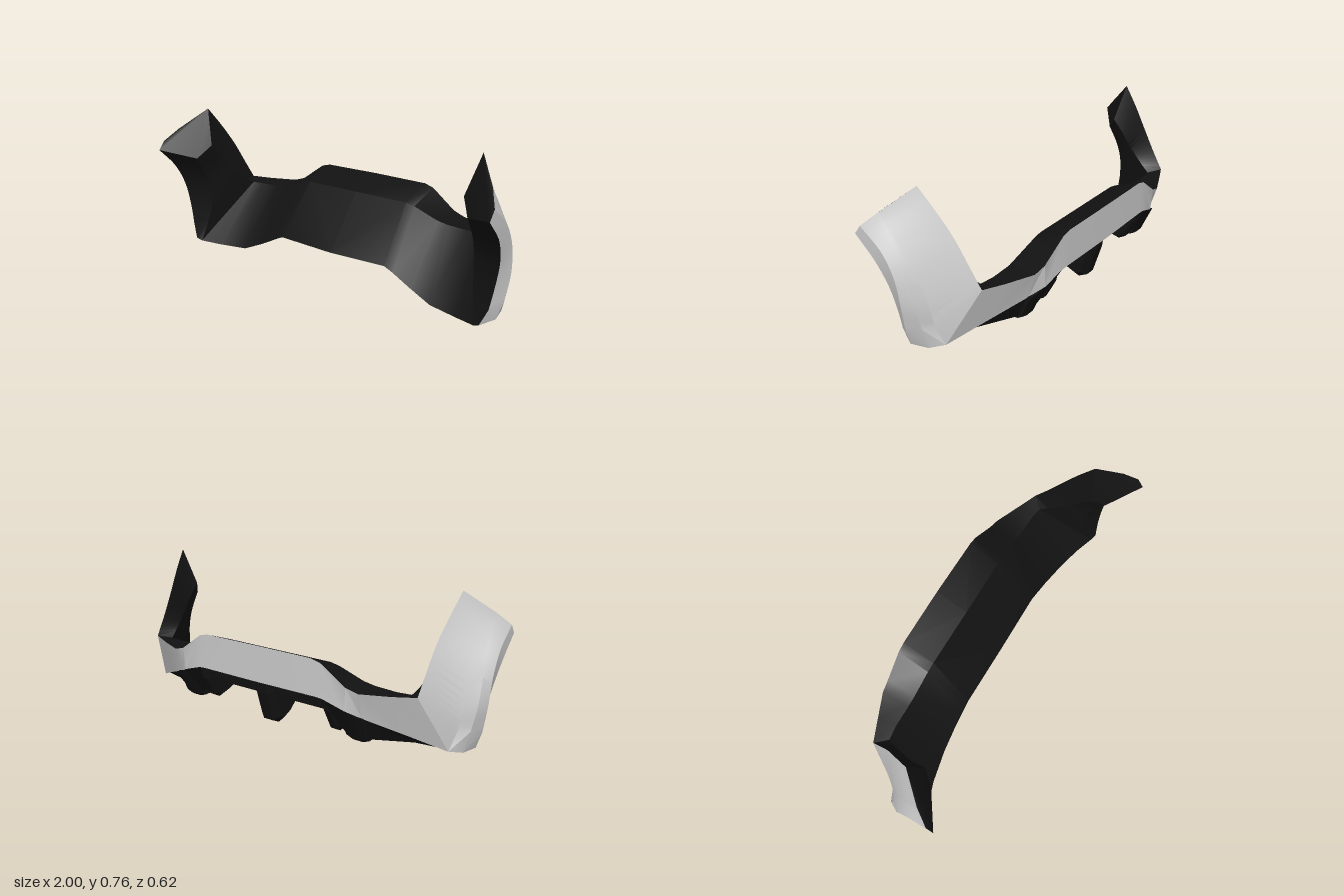
import * as THREE from 'three';
import { toCreasedNormals } from 'three/addons/utils/BufferGeometryUtils.js';

const grey = new THREE.MeshStandardMaterial({ color: 0xcccccc, side: THREE.DoubleSide });
const black = new THREE.MeshStandardMaterial({ color: 0x121212, side: THREE.DoubleSide });

// Body sections from the middle outwards:
// top edge, inner ridge, front foot, recess front, recess roof, lower lip
const body = [
  [[0, .455, -.308], [0, .39, -.14], [0, .115, .065], [0, .20, -.06], [0, .29, -.20], [0, .275, -.308]],
  [[.31, .453, -.305], [.31, .39, -.14], [.33, .125, .065], [.33, .20, -.06], [.33, .28, -.20], [.33, .275, -.304]],
  [[.36, .44, -.303], [.36, .38, -.14], [.38, .105, .067], [.39, .15, -.05], [.39, .24, -.20], [.37, .272, -.302]],
  [[.49, .348, -.294], [.49, .335, -.14], [.48, .055, .07], [.45, .066, -.08], [.45, .085, -.205], [.48, .235, -.289]],
  [[.55, .33, -.286], [.55, .325, -.14], [.6, .005, .08], [.58, .062, -.05], [.56, .085, -.19], [.55, .20, -.245]],
  [[.68, .33, -.231], [.66, .32, -.14], [.76, .002, .115], [.74, .04, .02], [.73, .075, -.08], [.72, .13, -.146]],
];
// Horn rails from bottom to tip: rear edge, inner ridge, inner front,
// arch edge, flange crease, flange shoulder, body crease
const horn = [
  [[.785, .335, -.185], [.785, .335, -.185], [.79, .43, -.127], [.80, .55, -.057], [.82, .66, .015], [.84, .76, .09]],
  [[.73, .32, -.13], [.745, .345, -.09], [.76, .395, -.03], [.775, .45, .03], [.78, .50, .07], [.78, .57, .13]],
  [[.87, .012, .155], [.845, .12, .125], [.83, .22, .105], [.83, .33, .11], [.835, .41, .14], [.835, .50, .19]],
  [[.90, .025, .165], [.935, .10, .15], [.955, .20, .147], [.98, .33, .16], [.995, .44, .21], [1, .545, .31]],
  [[.945, .042, .10], [.975, .13, .09], [.995, .26, .083], [1, .39, .10], [1, .50, .16], [1, .59, .275]],
  [[.925, .045, .01], [.95, .15, .015], [.97, .27, .03], [.968, .43, .075], [.958, .55, .135], [.952, .653, .207]],
  [[.88, .06, -.05], [.90, .15, -.01], [.915, .27, .004], [.935, .43, .057], [.945, .55, .125], [.95, .655, .204]],
];

const toVectors = points => points.map(p => new THREE.Vector3(...p));

// Full row of sections from the right tip, through the middle, to the left tip
function makeSections() {
  const steps = 18;
  // The recess roof point serves both flange points
  const half = body.map(s => toVectors([...s.slice(0, 5), s[4], s[5]]));
  half.push(toVectors(horn.map(r => r[0])));
  const rails = horn.map(r => new THREE.CatmullRomCurve3(toVectors(r.slice(1))).getPoints(steps));
  for (let i = 0; i <= steps; i++) half.push(rails.map(r => r[i]));
  const flip = s => s.map(p => new THREE.Vector3(-p.x, p.y, p.z));
  return [...half.slice(1).reverse().map(flip), ...half];
}

function meshFrom(tris, material, crease, name) {
  const g = new THREE.BufferGeometry().setFromPoints(tris);
  const mesh = new THREE.Mesh(toCreasedNormals(g, crease), material);
  mesh.name = name;
  return mesh;
}

// Chamfered plate with a side profile of [z, y] points, set across x
function plate(profile, x, width, chamfer, name) {
  const shape = new THREE.Shape(profile.map(([z, y]) => new THREE.Vector2(-z, y)));
  const bevel = width * 0.28;
  const depth = width - 2 * bevel;
  const g = new THREE.ExtrudeGeometry(shape, {
    depth, bevelThickness: bevel, bevelSize: chamfer, bevelOffset: -chamfer, bevelSegments: 1,
  });
  g.translate(0, 0, -depth / 2);
  g.rotateY(Math.PI / 2);
  g.translate(x, 0, 0);
  const mesh = new THREE.Mesh(g, black);
  mesh.name = name;
  return mesh;
}

export function createModel() {
  const group = new THREE.Group();
  const sections = makeSections();
  const outer = [], inner = [];
  const first = sections[0], last = sections[sections.length - 1];
  const mid = (sections.length - 1) / 2;
  const sides = first.length;

  // Skin between neighbouring sections, split into painted and dark faces
  for (let i = 0; i < sections.length - 1; i++) {
    const a = sections[i], b = sections[i + 1];
    const onHorn = Math.min(Math.abs(i - mid), Math.abs(i + 1 - mid)) >= body.length;
    for (let k = 0; k < sides; k++) {
      const m = (k + 1) % sides;
      const painted = k === sides - 1 || (k >= 3 && onHorn);
      const target = painted ? outer : inner;
      // Diagonals are mirrored so both halves match
      if (i < mid) target.push(a[k], a[m], b[m], a[k], b[m], b[k]);
      else target.push(a[k], a[m], b[k], a[m], b[m], b[k]);
    }
  }
  // End caps on the horn tips
  for (let k = 1; k < sides - 1; k++) {
    inner.push(last[0], last[k], last[k + 1]);
    inner.push(first[0], first[k + 1], first[k]);
  }
  group.add(meshFrom(outer, grey, 0.45, 'outerPanel'), meshFrom(inner, black, 0.55, 'innerLining'));

  // Diffuser fins below the middle
  const diffuser = new THREE.Group();
  diffuser.name = 'diffuser';
  const centreFin = [[-.28, .285], [-.27, .21], [-.22, .055], [-.17, .03], [-.10, .06], [0, .15], [-.06, .23], [-.18, .31]];
  const sideFin = [[-.28, .27], [-.265, .2], [-.21, .10], [-.17, .078], [-.10, .095], [0, .14], [-.06, .2], [-.18, .28]];
  diffuser.add(plate(centreFin, 0, .12, .03, 'centreFin'));
  for (const s of [-1, 1]) {
    diffuser.add(plate(sideFin, s * .375, .06, .015, 'sideFin'));
    // Corner fairing beside the outer fin
    const corner = [[-.275, .215], [-.215, .08], [-.19, .062], [-.10, .062], [-.03, .075], [-.16, .19]];
    diffuser.add(plate(corner, s * .50, .11, .01, 'cornerFairing'));
  }

  // Grille slats between the fins
  for (let i = 0; i < 4; i++) {
    const slat = new THREE.Mesh(new THREE.BoxGeometry(.74, .01, .05), black);
    slat.position.set(0, .25 - i * .028, -.235 + i * .035);
    slat.rotation.x = -.25;
    slat.name = 'grilleSlat';
    diffuser.add(slat);
  }
  group.add(diffuser);
  return group;
}
